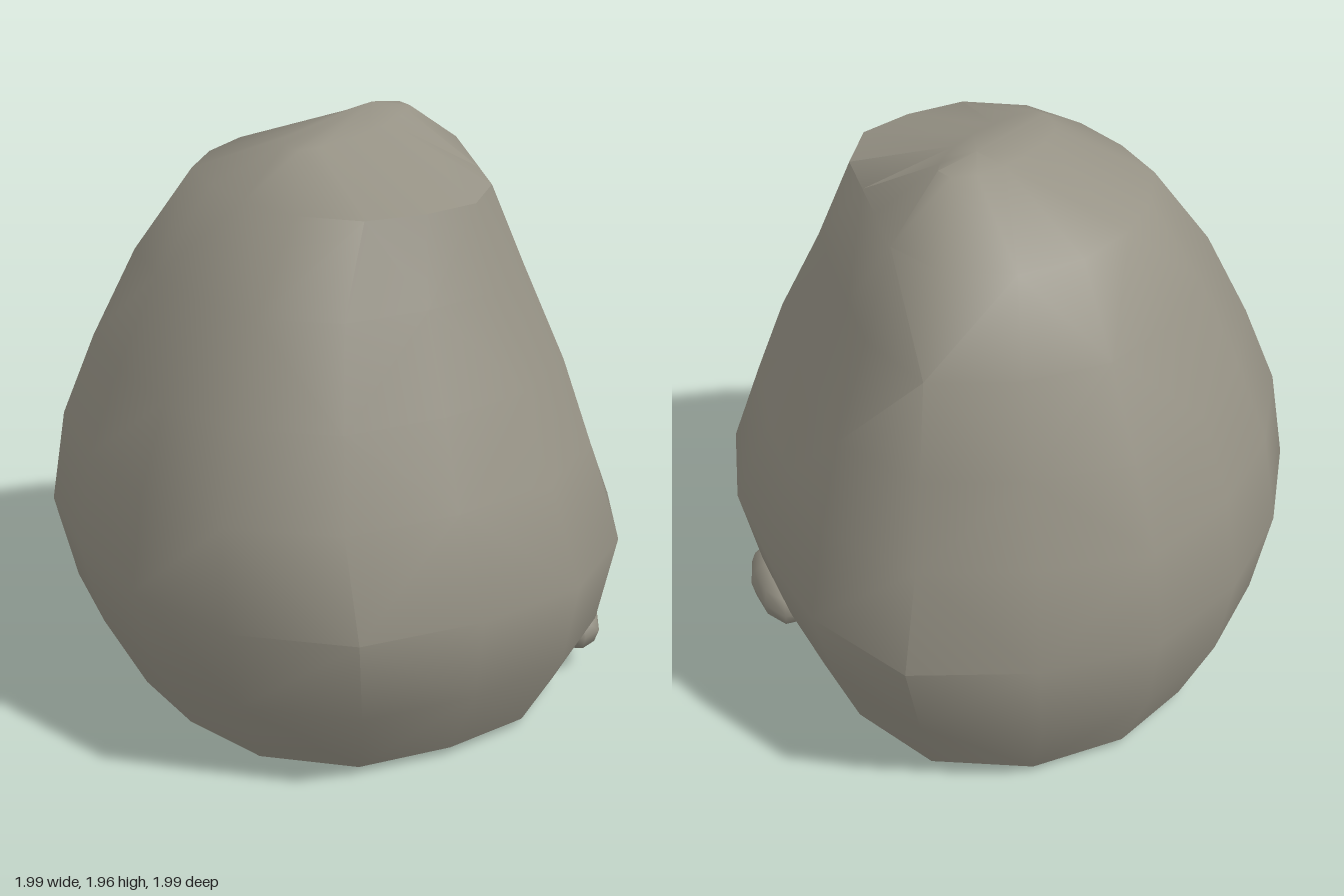
import * as THREE from 'three';
import { toCreasedNormals } from 'three/addons/utils/BufferGeometryUtils.js';

// Radii of the widest outline, counted from +x towards +z
const OUTLINE = [0.96, 0.87, 0.88, 0.94, 0.99, 1.0, 1.07, 1.06, 0.99, 0.97, 1.02, 0.98, 0.99, 1.04, 1.08, 1.08];
const SIDES = OUTLINE.length;

// Height, then reach of the outline towards -x, +x, -z and +z
const LEVELS = [
  [0.03, 0.78, 0.78, 0.81, 0.79],
  [0.30, 0.93, 0.90, 0.94, 0.95],
  [0.60, 1.01, 1.00, 1.00, 1.01],
  [0.92, 0.96, 0.93, 0.95, 0.88],
  [1.20, 0.85, 0.84, 0.84, 0.77],
  [1.50, 0.70, 0.73, 0.70, 0.63],
  [1.77, 0.49, 0.54, 0.53, 0.54],
  [1.91, 0.28, 0.29, 0.14, 0.08],
];

// Broad flat faces that trim the stone: normal x, y, z and offset
const FACETS = [
  [0.78, 0.32, -0.62, 1.22],
  [0.80, 0.40, 0.60, 1.12],
];

function boulderGeometry() {
  const positions = [];
  const index = [];
  LEVELS.forEach(([y, left, right, back, front], i) => {
    OUTLINE.forEach((r, j) => {
      const a = (j / SIDES) * Math.PI * 2;
      let x = r * Math.cos(a), z = r * Math.sin(a);
      x *= x < 0 ? left : right;
      z *= z < 0 ? back : front;
      // Pull the point in to any facet it lies beyond
      for (const [nx, ny, nz, d] of FACETS) {
        const reach = nx * x + nz * z;
        const pull = reach > 0 ? Math.min(1, (d - ny * y) / reach) : 1;
        x *= pull;
        z *= pull;
      }
      const rise = i === LEVELS.length - 1 ? 0.06 * x : 0;
      positions.push(x, y + rise, z);
    });
  });
  // Walls, with alternating diagonals
  for (let i = 0; i < LEVELS.length - 1; i++) {
    for (let j = 0; j < SIDES; j++) {
      const k = (j + 1) % SIDES;
      const a = i * SIDES + j, b = i * SIDES + k;
      const c = a + SIDES, d = b + SIDES;
      if ((i + j) % 2) index.push(a, c, b, b, c, d);
      else index.push(a, c, d, a, d, b);
    }
  }
  // Underside and crown
  const bottom = positions.length / 3, top = bottom + 1;
  positions.push(0, 0, 0, 0.15, 1.955, -0.05);
  const last = (LEVELS.length - 1) * SIDES;
  for (let j = 0; j < SIDES; j++) {
    const k = (j + 1) % SIDES;
    index.push(bottom, j, k, top, last + k, last + j);
  }
  const geometry = new THREE.BufferGeometry();
  geometry.setAttribute('position', new THREE.Float32BufferAttribute(positions, 3));
  geometry.setIndex(index);
  return toCreasedNormals(geometry, 0.75);
}

export function createModel() {
  const group = new THREE.Group();
  group.name = 'boulder';
  const stone = new THREE.MeshStandardMaterial({ color: 0x969285 });
  stone.name = 'stone';

  const body = new THREE.Mesh(boulderGeometry(), stone);
  body.name = 'boulderBody';
  group.add(body);

  // Small lump sticking out of the front left foot
  const lump = new THREE.Mesh(new THREE.SphereGeometry(1, 9, 6), stone);
  lump.name = 'footLump';
  lump.scale.set(0.2, 0.105, 0.1);
  lump.position.set(0.5, 0.16, 0.57);
  lump.rotation.y = 1.0;
  group.add(lump);

  return group;
}
